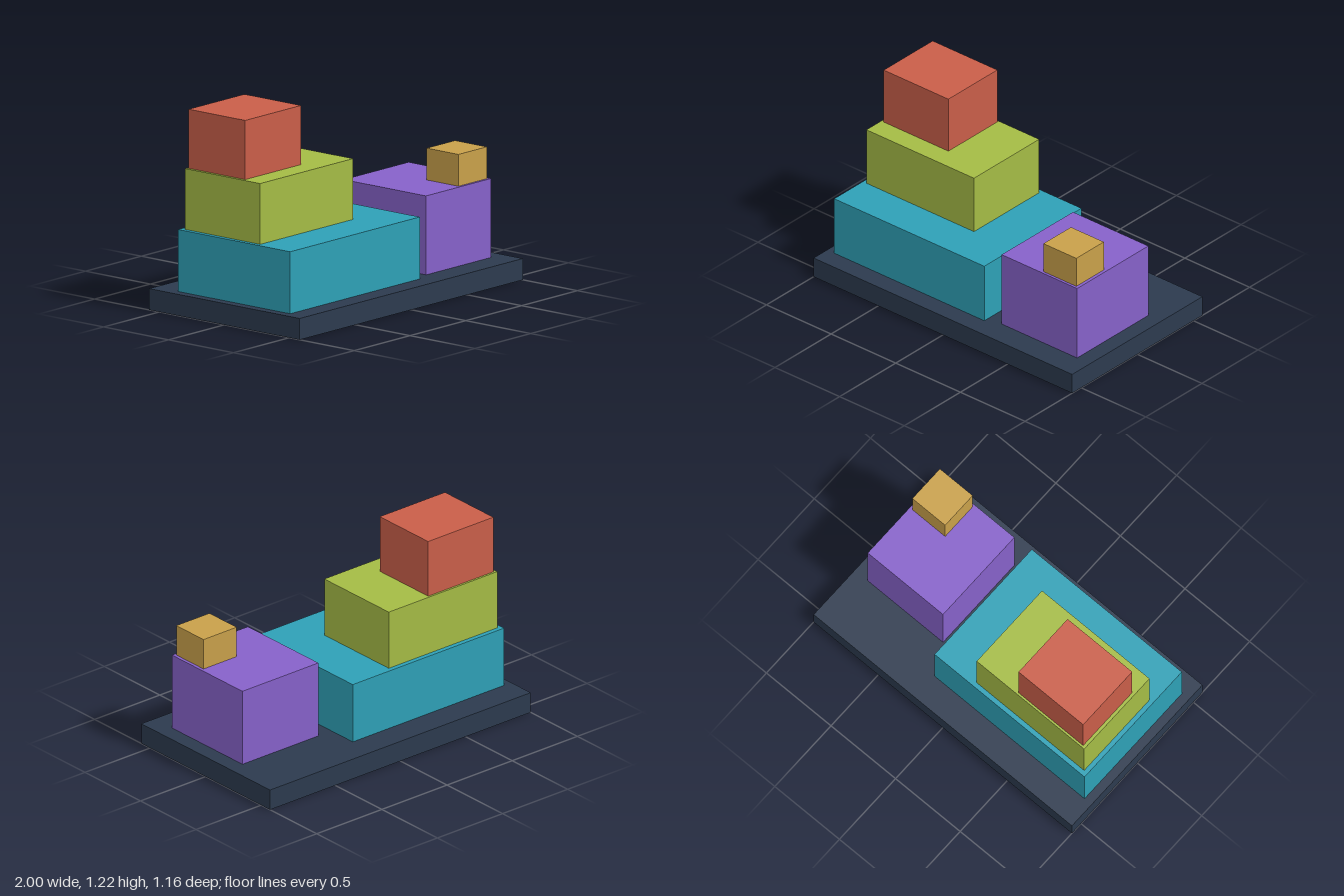
import * as THREE from 'three';

const material = (name, color) => {
  const m = new THREE.MeshStandardMaterial({ color });
  m.name = name;
  return m;
};

// Box given by its limits on each axis
function block(name, mat, [x0, x1], [y0, y1], [z0, z1]) {
  const mesh = new THREE.Mesh(new THREE.BoxGeometry(x1 - x0, y1 - y0, z1 - z0), mat);
  mesh.position.set((x0 + x1) / 2, (y0 + y1) / 2, (z0 + z1) / 2);
  mesh.name = name;
  return mesh;
}

export function createModel() {
  const model = new THREE.Group();
  model.name = 'steppedBlocks';

  // Ground slab
  model.add(block('base', material('slate', 0x2c3a4e), [-1, 1], [0, 0.128], [-0.58, 0.58]));

  // Tall three-tier stack
  const tower = new THREE.Group();
  tower.name = 'tower';
  tower.add(
    block('lowerTier', material('teal', 0x2ea0b6), [-0.945, 0.216], [0.128, 0.5], [-0.405, 0.46]),
    block('middleTier', material('lime', 0xa4bb45), [-0.917, -0.085], [0.5, 0.865], [-0.376, 0.205]),
    block('topTier', material('brickRed', 0xc95e49), [-0.898, -0.398], [0.865, 1.22], [-0.363, 0.073])
  );

  // Short two-tier stack
  const annex = new THREE.Group();
  annex.name = 'annex';
  annex.add(
    block('annexBody', material('purple', 0x8661c9), [0.317, 0.9], [0.128, 0.602], [-0.214, 0.421]),
    block('annexTop', material('ochre', 0xc8a04a), [0.626, 0.88], [0.602, 0.793], [0.16, 0.405])
  );

  model.add(tower, annex);
  return model;
}
